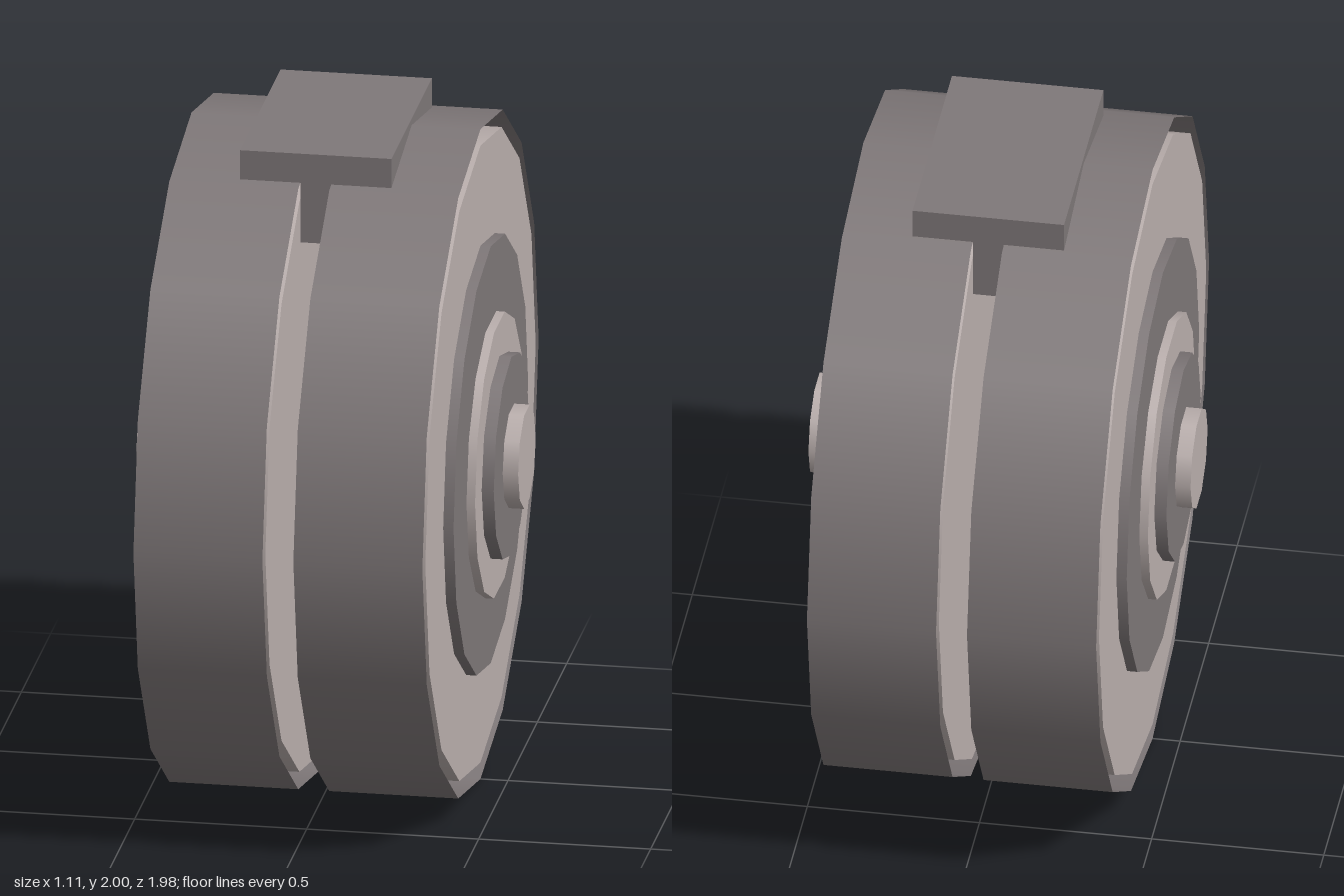
import * as THREE from 'three';

const AXLE_Y = 0.99;

export function createModel() {
  const model = new THREE.Group();
  model.name = 'twinWheel';

  const dark = new THREE.MeshStandardMaterial({ color: 0x7f7879 });
  dark.name = 'dark grey';
  const tread = new THREE.MeshStandardMaterial({ color: 0x7f7879, side: THREE.DoubleSide });
  tread.name = 'tread grey';
  const light = new THREE.MeshStandardMaterial({ color: 0xbbb0ae });
  light.name = 'pale grey';

  // Round part lying along the x axis, from x0 to x1
  function disc(name, parent, radius, x0, x1, sides, material, open = false) {
    const geometry = new THREE.CylinderGeometry(radius, radius, Math.abs(x1 - x0), sides, 1, open);
    geometry.rotateZ(Math.PI / 2);
    const mesh = new THREE.Mesh(geometry, material);
    mesh.position.set((x0 + x1) / 2, AXLE_Y, 0);
    mesh.name = name;
    parent.add(mesh);
  }

  // Two mirrored wheels: open tread band around a pale drum, with stepped hub plates
  for (const [side, s] of [['left', 1], ['right', -1]]) {
    const wheel = new THREE.Group();
    wheel.name = side + 'Wheel';
    disc('tread', wheel, 0.99, s * 0.045, s * 0.42, 16, tread, true);
    disc('drum', wheel, 0.94, s * 0.045, s * 0.42, 16, light);
    disc('hubPlate', wheel, 0.635, s * 0.4, s * 0.45, 16, dark);
    disc('hubRing', wheel, 0.415, s * 0.4, s * 0.475, 14, light);
    model.add(wheel);
  }

  // Axle parts running through both wheels
  disc('axle', model, 0.302, -0.51, 0.51, 12, dark);
  disc('axlePin', model, 0.15, -0.555, 0.555, 10, light);

  // T-shaped mounting bracket: top plate with a stem between the wheels
  const profile = new THREE.Shape([
    [-0.22, 2], [-0.22, 1.91], [-0.045, 1.91], [-0.045, 1.73],
    [0.045, 1.73], [0.045, 1.91], [0.22, 1.91], [0.22, 2],
  ].map(([x, y]) => new THREE.Vector2(x, y)));
  const bracket = new THREE.Mesh(
    new THREE.ExtrudeGeometry(profile, { depth: 0.69, bevelEnabled: false }), dark);
  bracket.position.z = -0.345;
  bracket.name = 'mountingBracket';
  model.add(bracket);

  return model;
}
